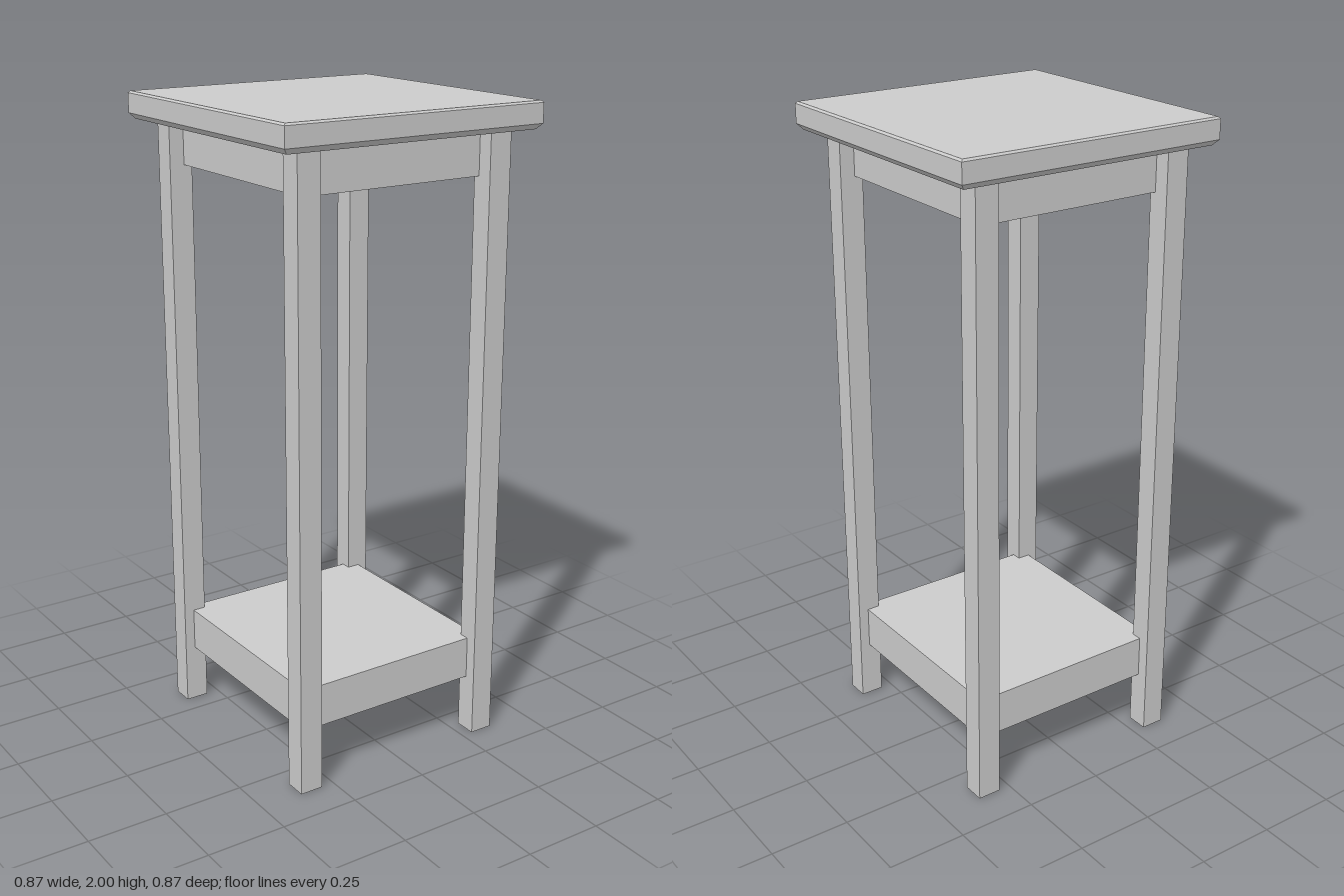
import * as THREE from 'three';

const material = new THREE.MeshStandardMaterial({ color: 0xcccccc, flatShading: true });

// Box given by its half extents in x and z and its bottom and top heights
function block(name, halfX, halfZ, bottom, top, x = 0, z = 0) {
  const mesh = new THREE.Mesh(new THREE.BoxGeometry(halfX * 2, top - bottom, halfZ * 2), material);
  mesh.name = name;
  mesh.position.set(x, (bottom + top) / 2, z);
  return mesh;
}

// Square slab with bevelled edges: a four-sided lathe turned by 45 degrees
function bevelledSlab(name, profile) {
  const points = profile.map(([half, y]) => new THREE.Vector2(half * Math.SQRT2, y));
  const geometry = new THREE.LatheGeometry(points, 4).rotateY(Math.PI / 4).toNonIndexed();
  geometry.computeVertexNormals();
  const mesh = new THREE.Mesh(geometry, material);
  mesh.name = name;
  return mesh;
}

export function createModel() {
  const stand = new THREE.Group();
  stand.name = 'plantStand';

  // Table top with a small upper bevel and a wider lower one
  stand.add(bevelledSlab('tableTop', [
    [0, 1.918], [0.42, 1.918], [0.435, 1.935], [0.435, 1.994], [0.429, 2], [0, 2],
  ]));

  // Four square legs
  for (const [side, sx] of [['Left', 1], ['Right', -1]]) {
    for (const [end, sz] of [['front', 1], ['back', -1]]) {
      stand.add(block(`${end}${side}Leg`, 0.037, 0.035, 0, 1.92, sx * 0.326 - 0.002, sz * 0.35));
    }
  }

  // Apron block under the top and low shelf, both let into the legs
  stand.add(block('apron', 0.316, 0.336, 1.785, 1.914, -0.002));
  stand.add(block('shelf', 0.33, 0.348, 0.185, 0.32, -0.002));

  return stand;
}
